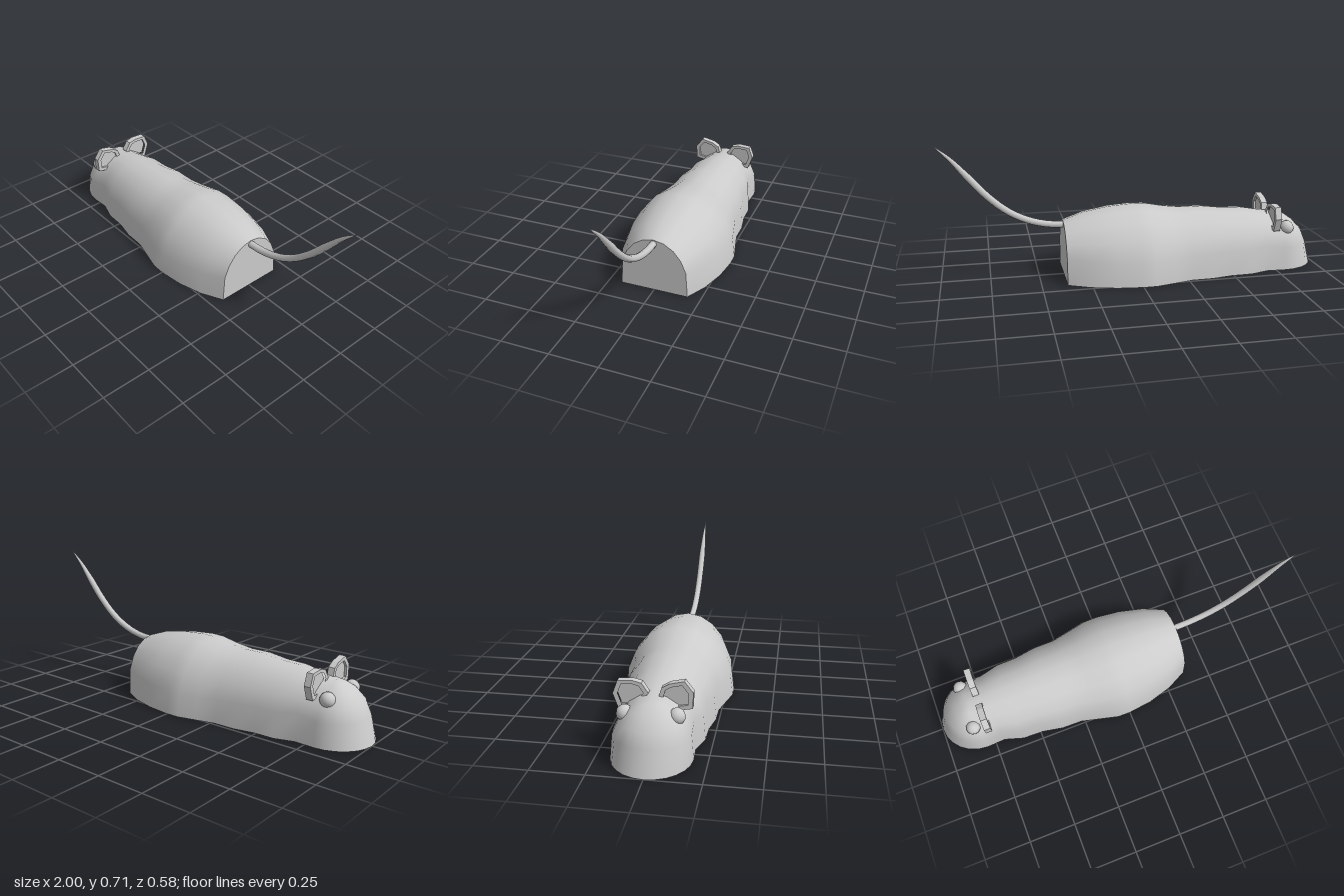
import * as THREE from 'three';
import { mergeVertices } from 'three/addons/utils/BufferGeometryUtils.js';

const SEG = 10; // segments over the arch of each body section
const REAR = 0.37, HEAD = -0.8;

// Arch point j of a section with half width w and height h: [z, y]
function arch(w, h, j) {
  const a = (j / SEG) * Math.PI;
  const lift = Math.max(0, h - 1.25 * w);
  const y = j === 0 || j === SEG ? 0 : lift + (h - lift) * Math.sin(a);
  return [w * Math.cos(a), y];
}

// Body stations: x, half width, height
const stations = [
  [REAR, 0.18, 0.294], [0.26, 0.235, 0.332], [0.13, 0.272, 0.355], [0, 0.288, 0.364],
  [-0.07, 0.287, 0.361], [-0.17, 0.262, 0.342], [-0.27, 0.237, 0.33], [-0.38, 0.235, 0.33],
  [-0.49, 0.214, 0.316], [-0.6, 0.211, 0.312], [-0.7, 0.18, 0.294], [HEAD, 0.185, 0.28],
];

// Open-bottomed shell: arched sections, then a rounded nose fanned about the crown
function bodyGeometry() {
  const pos = [], index = [];
  for (const [x, w, h] of stations) {
    for (let j = 0; j <= SEG; j++) {
      const [z, y] = arch(w, h, j);
      pos.push(x, y, z);
    }
  }
  const front = [1, 0.83, 0.7, 0.45, 0.21, 0]; // steeper profile at the snout
  const fan = 6;
  for (let i = 1; i <= fan; i++) {
    const t = (1 - i / fan) * Math.PI / 2;
    const blend = Math.cos(t) ** 2;
    for (let j = 0; j <= SEG; j++) {
      const k = Math.min(j, SEG - j);
      const y = arch(0.185, 0.28, j)[1];
      const r = THREE.MathUtils.lerp(Math.cos((k / SEG) * Math.PI), front[k], blend);
      pos.push(HEAD - 0.2 * r * Math.cos(t), y, Math.sign(SEG / 2 - j) * 0.185 * r * Math.sin(t));
    }
  }
  const n = SEG + 1;
  for (let i = 0; i < stations.length + fan - 1; i++) {
    for (let j = 0; j < SEG; j++) {
      const a = i * n + j, b = a + n;
      index.push(a, a + 1, b, a + 1, b + 1, b);
    }
  }
  const g = new THREE.BufferGeometry();
  g.setAttribute('position', new THREE.Float32BufferAttribute(pos, 3));
  g.setIndex(index);
  const merged = mergeVertices(g, 1e-4);
  merged.computeVertexNormals();
  return merged;
}

// Curved tail, narrowing to a point
function tailGeometry() {
  const path = new THREE.CatmullRomCurve3([
    [0.36, 0.271], [0.45, 0.278], [0.55, 0.305], [0.65, 0.357],
    [0.75, 0.442], [0.85, 0.555], [0.92, 0.635], [1, 0.708],
  ].map(([x, y]) => new THREE.Vector3(x, y, 0)));
  const rows = 24, sides = 8;
  const g = new THREE.TubeGeometry(path, rows, 0.018, sides);
  const p = g.attributes.position, v = new THREE.Vector3();
  for (let i = 0; i <= rows; i++) {
    const c = path.getPointAt(i / rows);
    const s = Math.min(1, Math.pow((1 - i / rows) / 0.3, 0.7));
    for (let j = 0; j <= sides; j++) {
      const k = i * (sides + 1) + j;
      v.fromBufferAttribute(p, k).sub(c).multiplyScalar(s).add(c);
      p.setXYZ(k, v.x, v.y, v.z);
    }
  }
  return g;
}

// Ear outline about its own centre, facing along x once turned
const earOutline = [
  [-0.08, 0.005], [-0.05, 0.05], [-0.01, 0.06], [0.058, 0.055],
  [0.08, -0.005], [0.055, -0.075], [-0.03, -0.065],
];

function earPoints(side, scale, turn) {
  const o = new THREE.Vector2();
  return earOutline.map(([u, v]) =>
    new THREE.Vector2(u * scale, v * scale).rotateAround(o, turn).multiply(new THREE.Vector2(side, 1)));
}

export function createModel() {
  const model = new THREE.Group();
  const skin = new THREE.MeshStandardMaterial({ color: 0xcccccc, side: THREE.DoubleSide });
  const flat = new THREE.MeshStandardMaterial({ color: 0xcccccc, flatShading: true });
  const add = (name, geometry, material, parent = model) => {
    const mesh = new THREE.Mesh(geometry, material);
    mesh.name = name;
    parent.add(mesh);
    return mesh;
  };

  add('body', bodyGeometry(), skin);

  // Flat rear wall closing the shell
  const rear = new THREE.Shape();
  for (let j = 0; j <= SEG; j++) {
    const [z, y] = arch(0.18, 0.294, j);
    j ? rear.lineTo(z, y) : rear.moveTo(z, y);
  }
  add('rearWall', new THREE.ShapeGeometry(rear).rotateY(Math.PI / 2).translate(REAR, 0, 0), skin);

  add('tail', tailGeometry(), skin);

  for (const side of [1, -1]) {
    const label = side > 0 ? 'front' : 'back';

    // Eye, half sunk into the head
    const eye = add(label + 'Eye', new THREE.SphereGeometry(0.038, 12, 8), skin);
    eye.position.set(-0.823, 0.216, side * 0.115);

    // Ear: raised rim around a recessed thin panel
    const ear = new THREE.Group();
    ear.name = label + 'Ear';
    ear.position.set(-0.752, 0.285, side * 0.1);
    ear.rotation.y = Math.PI / 2;
    const turn = side > 0 ? 0.3 : 0;
    const rim = new THREE.Shape(earPoints(-side, 1, turn));
    rim.holes.push(new THREE.Path(earPoints(-side, 0.72, turn)));
    const plate = new THREE.Shape(earPoints(-side, 0.74, turn));
    const slab = (shape, depth) =>
      new THREE.ExtrudeGeometry(shape, { depth, bevelEnabled: false }).translate(0, 0, -depth / 2);
    add('earRim', slab(rim, 0.034), flat, ear);
    add('earPanel', slab(plate, 0.01), flat, ear);
    model.add(ear);
  }
  return model;
}
